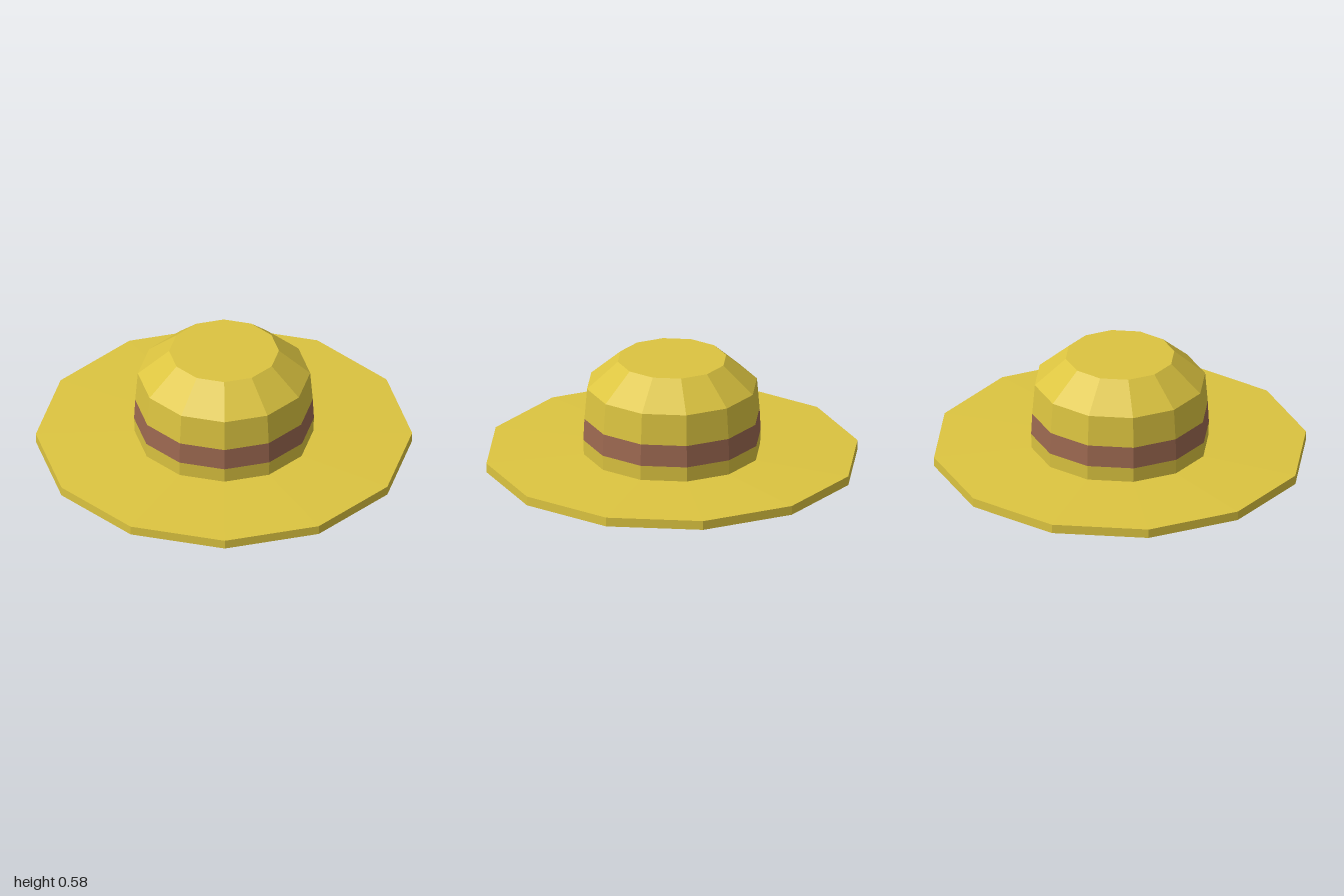
import * as THREE from 'three';

const SIDES = 12;
const straw = new THREE.MeshStandardMaterial({ color: 0xdcc440 });
straw.name = 'straw yellow';
const ribbon = new THREE.MeshStandardMaterial({ color: 0x9c6850 });
ribbon.name = 'ribbon brown';

// Twelve-sided faceted ring from [radius, height] points, listed bottom to top
function facetedRing(name, profile, material) {
  const points = profile.map(([r, y]) => new THREE.Vector2(r, y));
  const geometry = new THREE.LatheGeometry(points, SIDES).toNonIndexed();
  geometry.computeVertexNormals();
  const mesh = new THREE.Mesh(geometry, material);
  mesh.name = name;
  return mesh;
}

export function createModel() {
  const hat = new THREE.Group();
  hat.name = 'strawHat';

  hat.add(
    // Wide brim with a closed underside, rising slightly to the crown
    facetedRing('brim', [[0, 0], [1, 0], [1, 0.05], [0.475, 0.068]], straw),
    // Crown wall below the band
    facetedRing('crownBase', [[0.475, 0.068], [0.478, 0.15]], straw),
    // Ribbon, flush with the crown
    facetedRing('hatBand', [[0.478, 0.15], [0.472, 0.27]], ribbon),
    // Upper wall, sloped shoulder and flat top
    facetedRing('crownTop', [[0.472, 0.27], [0.458, 0.44], [0.292, 0.585], [0, 0.585]], straw),
  );
  return hat;
}
